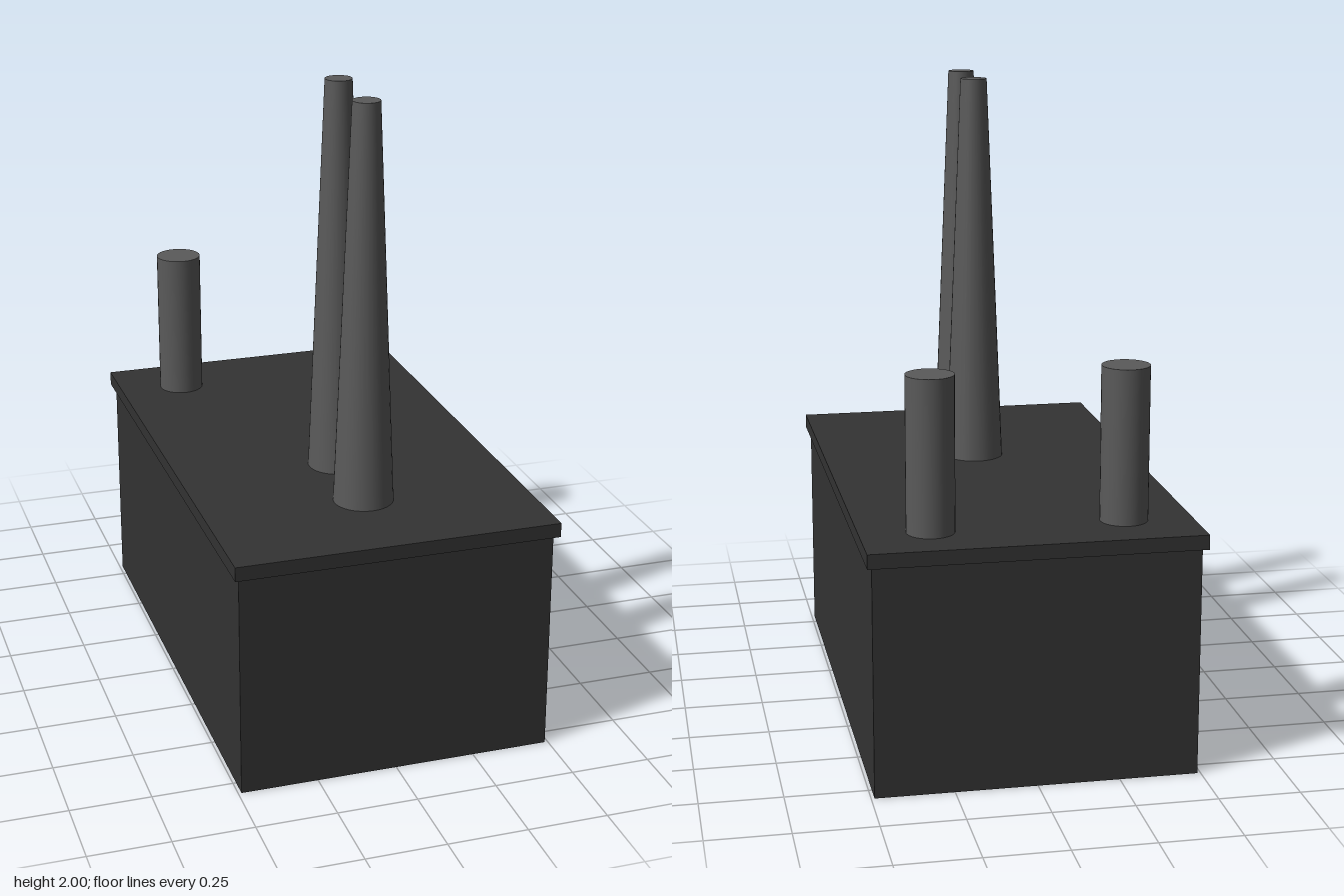
import * as THREE from 'three';

export function createModel() {
  const model = new THREE.Group();
  const dark = new THREE.MeshStandardMaterial({ color: 0x333333 });
  const grey = new THREE.MeshStandardMaterial({ color: 0x5a5a5a });

  function add(name, geometry, material, x, y, z) {
    const mesh = new THREE.Mesh(geometry, material);
    mesh.name = name;
    mesh.position.set(x, y, z);
    model.add(mesh);
  }

  // Building block and its slightly overhanging flat roof
  const wallTop = 0.71, roofTop = 0.755;
  add('building', new THREE.BoxGeometry(0.98, wallTop, 1.62), dark, 0, wallTop / 2, 0);
  add('roofSlab', new THREE.BoxGeometry(1.01, roofTop - wallTop, 1.66), dark, 0, (wallTop + roofTop) / 2, 0);

  // Round stack standing on the roof
  function addStack(name, x, z, topRadius, bottomRadius, top) {
    const height = top - roofTop;
    add(name, new THREE.CylinderGeometry(topRadius, bottomRadius, height, 32), grey, x, roofTop + height / 2, z);
  }

  // Tall tapered chimneys towards the front
  addStack('frontChimney', -0.002, 0.483, 0.042, 0.093, 2);
  addStack('rearChimney', 0.009, 0.191, 0.042, 0.093, 2);

  // Short straight vents at the back corners
  addStack('rightVent', -0.296, -0.63, 0.073, 0.073, 1.23);
  addStack('leftVent', 0.292, -0.644, 0.073, 0.073, 1.23);

  return model;
}
